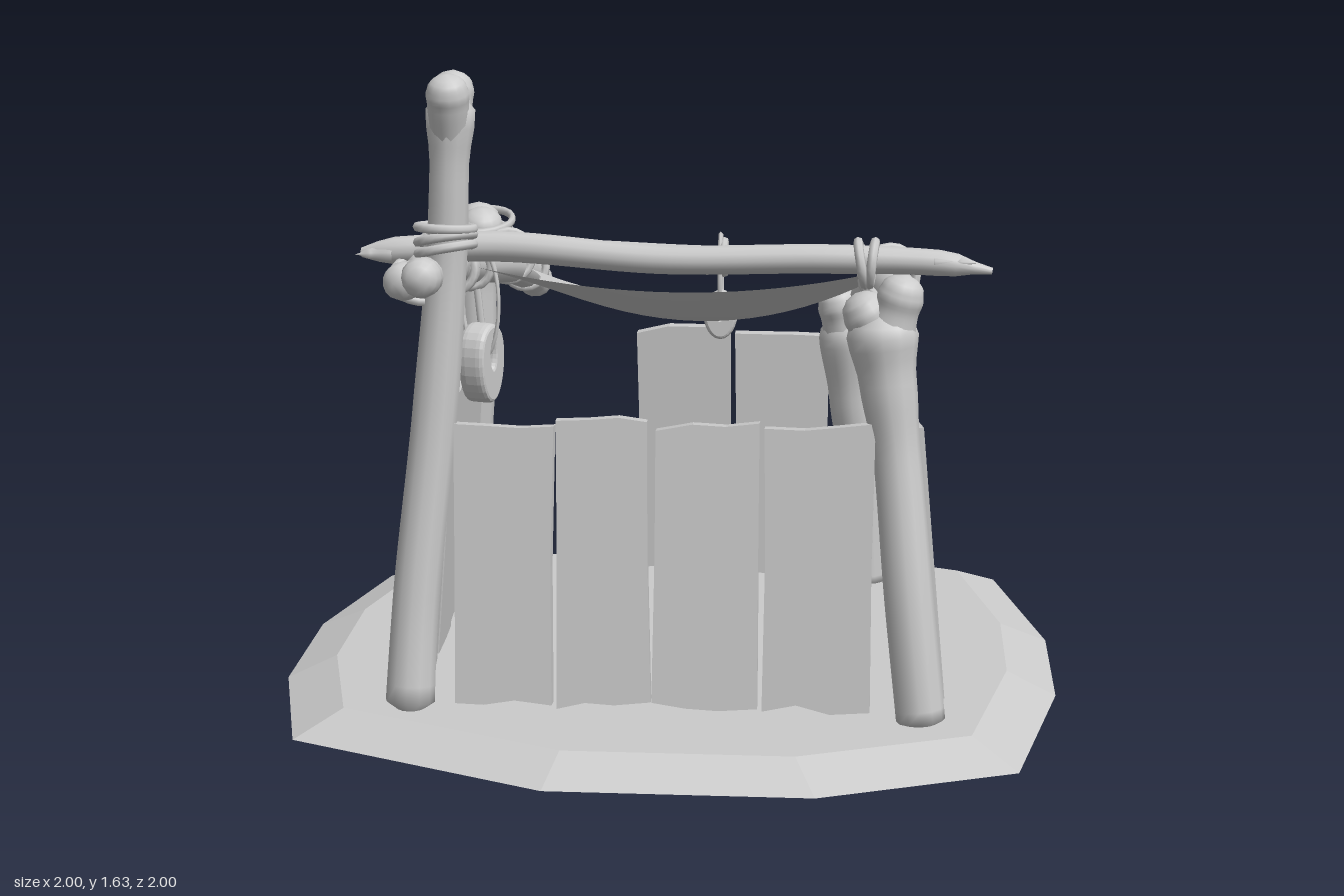
import * as THREE from 'three';
import { mergeVertices } from 'three/addons/utils/BufferGeometryUtils.js';
import { ConvexGeometry } from 'three/addons/geometries/ConvexGeometry.js';

const V = (x, y, z) => new THREE.Vector3(x, y, z);
const grey = new THREE.MeshStandardMaterial({ color: 0xcccccc });
const greyFlat = new THREE.MeshStandardMaterial({ color: 0xcccccc, flatShading: true });
const greyThin = new THREE.MeshStandardMaterial({ color: 0xcccccc, side: THREE.DoubleSide });

let seed = 7;
const rand = () => (seed = (seed * 16807) % 2147483647) / 2147483647 - 0.5;

function add(parent, name, geometry, material = grey) {
  const mesh = new THREE.Mesh(geometry, material);
  mesh.name = name;
  parent.add(mesh);
  return mesh;
}

// Round limb along a curve; each station is [x, y, z, radius]
function limb(parent, name, stations, sides = 12, rings = 36) {
  const curve = new THREE.CatmullRomCurve3(stations.map(s => V(s[0], s[1], s[2])));
  const geo = new THREE.TubeGeometry(curve, rings, 1, sides);
  const pos = geo.attributes.position, p = V(0, 0, 0);
  for (let i = 0; i <= rings; i++) {
    const centre = curve.getPointAt(i / rings);
    const t = curve.getUtoTmapping(i / rings) * (stations.length - 1);
    const k = Math.min(Math.floor(t), stations.length - 2);
    const r = THREE.MathUtils.lerp(stations[k][3], stations[k + 1][3], THREE.MathUtils.smoothstep(t - k, 0, 1));
    for (let j = 0; j <= sides; j++) {
      const n = i * (sides + 1) + j;
      p.fromBufferAttribute(pos, n).sub(centre).multiplyScalar(r).add(centre);
      pos.setXYZ(n, p.x, p.y, p.z);
    }
  }
  geo.deleteAttribute('uv');
  geo.deleteAttribute('normal');
  const merged = mergeVertices(geo, 1e-4);
  merged.computeVertexNormals();
  return add(parent, name, merged);
}

// Forked bone end: each lobe grows out of the root [x, y, z, radius] and rounds off at its own [x, y, z, radius]
function knuckles(parent, root, lobes) {
  const from = V(root[0], root[1], root[2]);
  for (const [x, y, z, r] of lobes) {
    const tip = V(x, y, z), dir = tip.clone().sub(from).normalize();
    const at = d => tip.clone().addScaledVector(dir, d * r).toArray();
    limb(parent, 'knuckle', [root, [...at(-0.5), r * 0.95], [...at(0), r], [...at(0.5), r * 0.87],
      [...at(0.87), r * 0.5], [...at(1), 0]], 14, 20);
  }
}

// Slightly untidy coils of rope around an axis; squash narrows them across x
function rope(parent, centre, axis, radius, count = 1, squash = 1) {
  const dir = axis.clone().normalize();
  for (let i = 0; i < count; i++) {
    const m = add(parent, 'ropeCoil', new THREE.TorusGeometry(radius, 0.012, 7, 20));
    const tilt = count > 1 ? V(rand(), rand(), rand()).multiplyScalar(0.35) : V(0, 0, 0);
    m.quaternion.setFromUnitVectors(V(0, 0, 1), dir.clone().add(tilt).normalize());
    m.position.copy(centre).addScaledVector(dir, (i - (count - 1) / 2) * 0.026);
    m.scale.x = squash;
  }
}

// Row of ragged planks from a to b, [x, z], leaning inward at the top; splits are the seams along the row
function plankWall(parent, name, a, b, splits, height, lean) {
  const wall = new THREE.Group();
  wall.name = name;
  const length = Math.hypot(b[0] - a[0], b[1] - a[1]);
  for (let i = 0; i < splits.length - 1; i++) {
    const w = (splits[i + 1] - splits[i]) * length, t = (splits[i] + splits[i + 1]) / 2;
    const h = height + rand() * 0.03, j = () => rand() * 0.025;
    const l = -w / 2 + 0.005, r = w / 2 - 0.005;
    const outline = [[l + j() / 2, j()], [l + w * 0.3, j()], [l + w * 0.6, j()], [r + j() / 2, j()],
      [r - 0.003, h * 0.5], [r + j() / 2, h + j()], [l + w * 0.65, h + j()], [l + w * 0.35, h + j()],
      [l + j() / 2, h + j()], [l + 0.004, h * 0.55]];
    const shape = new THREE.Shape(outline.map(q => new THREE.Vector2(...q)));
    const geo = new THREE.ExtrudeGeometry(shape, { depth: 0.042, bevelEnabled: false });
    geo.translate(0, 0, -0.021);
    const plank = add(wall, 'plank', geo, greyFlat);
    plank.position.set(a[0] + (b[0] - a[0]) * t, 0.075, a[1] + (b[1] - a[1]) * t);
    plank.rotation.order = 'YXZ';
    plank.rotation.set(-lean + rand() * 0.02, Math.atan2(a[1] - b[1], b[0] - a[0]) + rand() * 0.1, 0);
  }
  parent.add(wall);
}

// Bevelled tooth pendant with a hole, hung on a loop of rope
function pendant(parent, x, beamY, z, topY, w, h, turn) {
  const g = new THREE.Group();
  g.name = 'pendant';
  const s = new THREE.Shape();
  s.moveTo(0, -h);
  s.bezierCurveTo(w * 0.5, -h, w * 0.75, -h * 0.2, w * 0.35, 0);
  s.bezierCurveTo(w * 0.1, 0.02, -w * 0.1, 0.02, -w * 0.35, 0);
  s.bezierCurveTo(-w * 0.75, -h * 0.2, -w * 0.5, -h, 0, -h);
  const hole = new THREE.Path();
  hole.absellipse(0, -h * 0.33, w * 0.2, h * 0.25, 0, Math.PI * 2, true);
  s.holes.push(hole);
  const geo = new THREE.ExtrudeGeometry(s, { depth: 0.03, bevelSize: 0.01, bevelThickness: 0.02, bevelSegments: 3, curveSegments: 10 });
  geo.translate(0, 0, -0.015);
  add(g, 'tooth', geo);
  const drop = beamY - topY;
  const loop = add(g, 'hangingLoop', new THREE.TorusGeometry(1, 0.1, 6, 20));
  loop.scale.set(0.05, drop / 2 + 0.06, 0.07);
  loop.position.y = drop / 2;
  loop.rotation.y = Math.PI / 2;
  g.position.set(x, topY, z);
  g.rotation.y = turn;
  parent.add(g);
}

export function createModel() {
  seed = 7;
  const model = new THREE.Group();
  model.name = 'boneShelter';

  // Ground slab with sloping rim
  const rim = [[-0.24, -1], [0.4, -1], [0.88, -0.8], [1, -0.23], [1, 0.23], [0.88, 0.8],
    [0.4, 1], [-0.24, 1], [-0.89, 0.7], [-1, 0.23], [-1, -0.23], [-0.89, -0.71]];
  add(model, 'ground', new ConvexGeometry(rim.flatMap(([x, z]) => [V(x, 0, z), V(x * 0.875, 0.055, z * 0.875)])), greyFlat);

  // Corner posts
  limb(model, 'frontRightPost', [[-0.615, 0.03, 0.6, 0], [-0.615, 0.035, 0.6, 0.062], [-0.6, 0.32, 0.565, 0.058], [-0.55, 0.8, 0.52, 0.056],
    [-0.515, 1.2, 0.51, 0.05], [-0.505, 1.4, 0.52, 0.048], [-0.5, 1.53, 0.52, 0.062], [-0.5, 1.58, 0.52, 0.02]]);
  knuckles(model, [-0.503, 1.45, 0.52, 0.045], [[-0.5, 1.575, 0.56, 0.053], [-0.5, 1.575, 0.48, 0.053]]);
  limb(model, 'frontLeftPost', [[0.65, 0.03, 0.61, 0], [0.65, 0.035, 0.61, 0.06], [0.615, 0.35, 0.575, 0.06], [0.58, 0.7, 0.52, 0.058],
    [0.555, 0.88, 0.5, 0.07], [0.54, 1.0, 0.49, 0.088], [0.54, 1.08, 0.49, 0.03]]);
  knuckles(model, [0.545, 0.96, 0.49, 0.07], [[0.5, 1.045, 0.49, 0.058], [0.582, 1.09, 0.5, 0.058]]);
  limb(model, 'backLeftPost', [[0.5, 0.03, -0.61, 0], [0.5, 0.035, -0.61, 0.068], [0.49, 0.35, -0.6, 0.06], [0.46, 0.6, -0.58, 0.065],
    [0.45, 0.77, -0.58, 0.085], [0.45, 0.86, -0.58, 0.04]]);
  knuckles(model, [0.455, 0.7, -0.58, 0.07], [[0.42, 0.86, -0.56, 0.06], [0.52, 0.8, -0.62, 0.06]]);
  limb(model, 'backRightPost', [[-0.6, 0.03, -0.58, 0], [-0.6, 0.035, -0.58, 0.062], [-0.615, 0.4, -0.55, 0.052], [-0.6, 0.7, -0.53, 0.055],
    [-0.6, 0.92, -0.53, 0.06], [-0.585, 1.04, -0.53, 0.075], [-0.585, 1.1, -0.53, 0.04]]);
  knuckles(model, [-0.59, 0.96, -0.53, 0.06], [[-0.595, 1.08, -0.575, 0.062], [-0.575, 1.08, -0.49, 0.062]]);

  // Roof beams
  limb(model, 'frontBeam', [[-0.74, 1.17, 0.43, 0.012], [-0.66, 1.175, 0.43, 0.035], [-0.4, 1.19, 0.435, 0.038], [0, 1.17, 0.475, 0.036],
    [0.4, 1.18, 0.495, 0.036], [0.68, 1.175, 0.505, 0.032], [0.8, 1.16, 0.52, 0.008]]);
  for (const [x, y, z, dx] of [[-0.66, 1.17, 0.45, -0.09], [-0.66, 1.16, 0.41, -0.07], [0.66, 1.16, 0.48, 0.13], [0.66, 1.18, 0.52, 0.1]])
    limb(model, 'splinter', [[x, y, z, 0.02], [x + dx * 0.6, y, z, 0.014], [x + dx, y, z + 0.01, 0.001]], 5);
  limb(model, 'leftBeam', [[0.57, 1.12, 0.5, 0], [0.565, 1.11, 0.46, 0.05], [0.545, 1.06, 0.2, 0.048], [0.52, 0.97, -0.2, 0.046],
    [0.5, 0.895, -0.55, 0.048], [0.5, 0.86, -0.71, 0.06], [0.5, 0.85, -0.77, 0.02]]);
  knuckles(model, [0.5, 0.885, -0.62, 0.045], [[0.475, 0.85, -0.75, 0.045], [0.525, 0.843, -0.785, 0.05]]);
  limb(model, 'rightBeam', [[-0.585, 1.135, 0.54, 0.02], [-0.575, 1.13, 0.5, 0.055], [-0.545, 1.12, 0.35, 0.045], [-0.525, 1.06, 0, 0.044],
    [-0.49, 0.98, -0.45, 0.046], [-0.465, 0.93, -0.64, 0.05], [-0.46, 0.92, -0.7, 0.02]]);
  knuckles(model, [-0.56, 1.12, 0.42, 0.045], [[-0.615, 1.125, 0.57, 0.048], [-0.565, 1.14, 0.6, 0.05]]);
  knuckles(model, [-0.475, 0.96, -0.56, 0.045], [[-0.45, 0.9, -0.685, 0.05], [-0.475, 0.94, -0.7, 0.05]]);
  limb(model, 'backBeam', [[-0.67, 1.05, -0.41, 0.008], [-0.55, 1.04, -0.42, 0.03], [-0.25, 1.02, -0.47, 0.034], [0.05, 1, -0.52, 0.034],
    [0.4, 0.99, -0.59, 0.036], [0.53, 0.98, -0.625, 0.042], [0.56, 0.98, -0.63, 0.01]]);
  knuckles(model, [0.47, 0.985, -0.61, 0.035], [[0.56, 0.985, -0.607, 0.032], [0.555, 0.975, -0.655, 0.032]]);

  // Sagging cloth roof, stretched between four corners
  const cloth = new THREE.PlaneGeometry(1, 1, 18, 18), cp = cloth.attributes.position;
  const corners = [V(-0.45, 1.14, 0.45), V(0.5, 1.14, 0.48), V(-0.43, 0.98, -0.42), V(0.49, 0.94, -0.57)];
  for (let i = 0; i < cp.count; i++) {
    const u = cp.getX(i) + 0.5, v = cp.getY(i) + 0.5;
    const bu = 4 * u * (1 - u), bv = 4 * v * (1 - v);
    const p = corners[0].clone().lerp(corners[1], u).lerp(corners[2].clone().lerp(corners[3], u), v);
    p.x += bv * (0.08 * (1 - u) - 0.02 * u);
    p.y -= 0.068 * bu + 0.03 * bv + 0.03 * bu * bv;
    p.z += bu * (0.09 * v - 0.08 * (1 - v));
    cp.setXYZ(i, p.x, p.y, p.z);
  }
  cloth.computeVertexNormals();
  add(model, 'clothRoof', cloth, greyThin);

  // Plank walls; the back leaves a doorway
  plankWall(model, 'frontWall', [-0.51, 0.585], [0.53, 0.585], [0, 0.245, 0.475, 0.735, 1], 0.7, 0.085);
  plankWall(model, 'leftWall', [0.685, 0.51], [0.595, -0.52], [0, 0.26, 0.53, 0.765, 1], 0.69, 0.09);
  plankWall(model, 'backWall', [0.4, -0.61], [-0.15, -0.61], [0, 0.5, 1], 0.7, 0.02);
  plankWall(model, 'rightWall', [-0.65, -0.5], [-0.605, 0.5], [0, 0.25, 0.5, 0.75, 1], 0.69, 0.08);

  // Rope lashings at the joints
  const X = V(1, 0, 0), Y = V(0, 1, 0), Z = V(0, 0, 1);
  rope(model, V(-0.52, 1.22, 0.5), Y, 0.068, 3);
  rope(model, V(-0.59, 1.11, 0.48), V(0.4, 1, 0.3), 0.066, 2);
  rope(model, V(-0.55, 1.15, 0.42), Z, 0.065, 3);
  rope(model, V(0.5, 1.17, 0.49), X, 0.052, 2);
  rope(model, V(0.555, 1.13, 0.43), V(0.1, 0.3, 1), 0.065, 3);
  rope(model, V(-0.585, 1.055, -0.53), Y, 0.115, 4, 0.78);
  rope(model, V(-0.5, 1.01, -0.45), V(0.4, 0.2, 1), 0.068, 2);
  rope(model, V(-0.47, 0.95, -0.61), V(0.1, 0.2, 1), 0.058, 2);
  rope(model, V(0.5, 0.95, -0.61), V(1, 0, -0.2), 0.07, 2);

  // Pendants under the beams
  rope(model, V(-0.54, 1.1, 0.25), Z, 0.055, 2);
  rope(model, V(-0.53, 1.07, 0.05), Z, 0.055);
  rope(model, V(0.1, 1, -0.53), X, 0.045);
  pendant(model, -0.47, 1.1, 0.27, 0.94, 0.11, 0.17, Math.PI / 2 - 0.3);
  pendant(model, 0.09, 1, -0.53, 0.88, 0.07, 0.1, 0);
  limb(model, 'boneCharm', [[-0.5, 0.91, 0.05, 0], [-0.5, 0.905, 0.05, 0.02], [-0.5, 0.87, 0.05, 0.023], [-0.5, 0.835, 0.05, 0.027], [-0.5, 0.825, 0.05, 0]]);
  limb(model, 'charmCord', [[-0.52, 1.08, 0.05, 0.01], [-0.51, 1, 0.05, 0.01], [-0.5, 0.9, 0.05, 0.01]], 6);
  return model;
}
